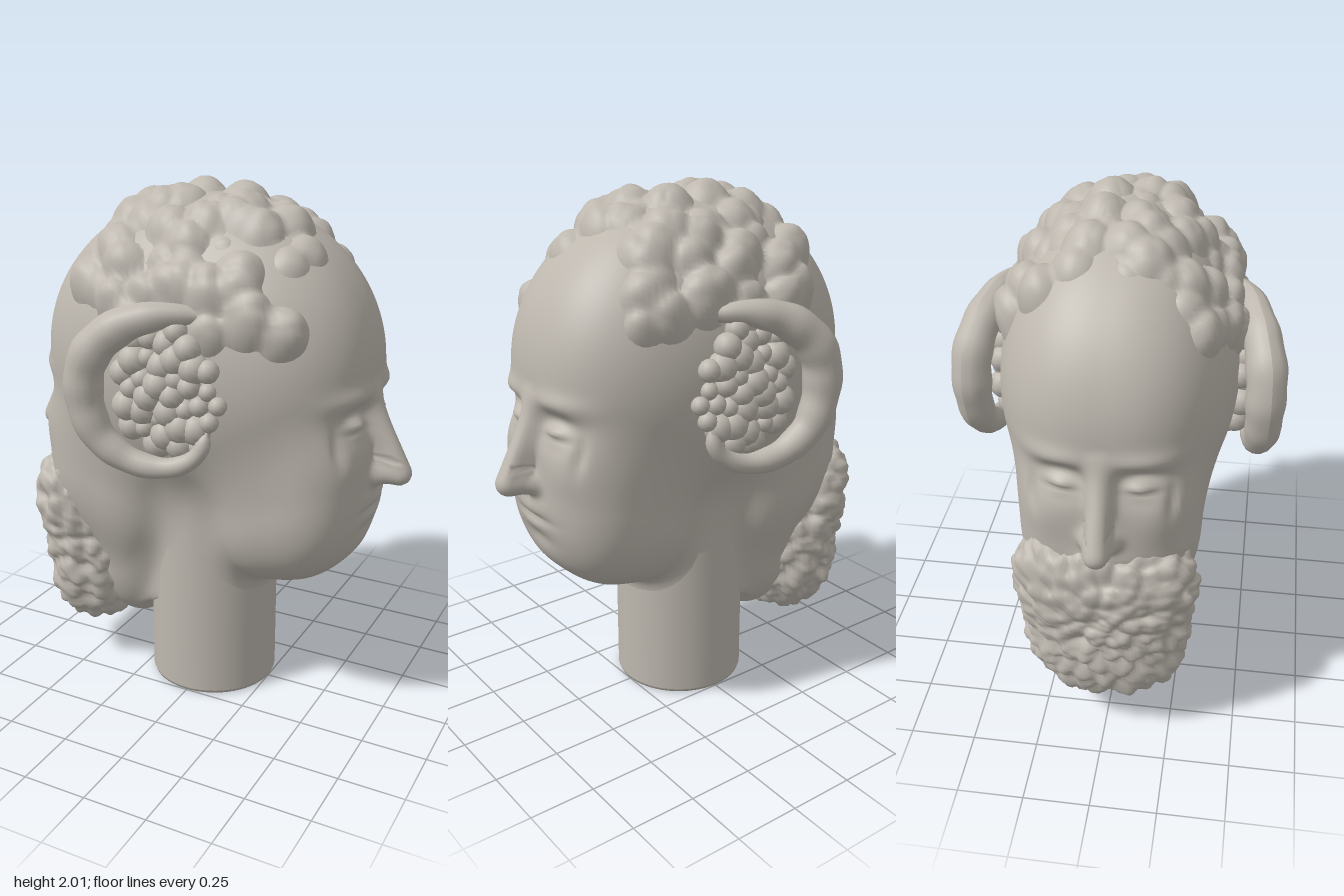
import * as THREE from 'three';
import { mergeGeometries } from 'three/addons/utils/BufferGeometryUtils.js';

const V = (x, y, z) => new THREE.Vector3(x, y, z);
const gauss = (v, s) => Math.exp(-(v * v) / (s * s));
const smoothMin = (a, b, k) => {
  const h = Math.max(k - Math.abs(a - b), 0) / k;
  return Math.min(a, b) - h * h * k * 0.25;
};

// Squarish ellipsoid as a distance field: e rounds the plan, ey the height
function blob(x, y, z, rx, ry, rz, e, ey) {
  const f = Math.pow(Math.pow(Math.abs(x / rx), e) + Math.pow(Math.abs(z / rz), e), 1 / e);
  const r = Math.pow(Math.pow(f, ey) + Math.pow(Math.abs(y / ry), ey), 1 / ey);
  return (r - 1) * Math.min(rx, ry, rz);
}

// Tapered nose ridge from brow to tip, with nostril wings
function noseField(u, y, z) {
  const ax = 0.622, ay = 1.29, bx = 0.754, by = 0.998;
  const dx = bx - ax, dy = by - ay;
  const t = THREE.MathUtils.clamp(((u - ax) * dx + (y - ay) * dy) / (dx * dx + dy * dy), 0, 1);
  const ridge = Math.hypot(u - ax - dx * t, y - ay - dy * t, z) - (0.03 + 0.017 * t);
  const wing = Math.hypot(u - 0.685, y - 0.99, Math.abs(z) - 0.03) - 0.034;
  return smoothMin(ridge, wing, 0.05);
}

// Raised or sunken face details: [amount, y, z, height, width]
const features = [
  [0.014, 1.3, 0.15, 0.04, 0.11],     // brow
  [-0.036, 1.215, 0.13, 0.06, 0.085], // eye socket
  [0.034, 1.2, 0.135, 0.034, 0.055],  // eyeball
  [-0.01, 1.18, 0.14, 0.012, 0.05],   // lower lid line
  [0.01, 1.06, 0.2, 0.1, 0.08],       // cheek
  [-0.012, 1.13, 0.24, 0.06, 0.016],  // cheek crease
  [0.02, 0.895, 0, 0.04, 0.08],       // upper lip
  [-0.014, 0.852, 0, 0.014, 0.1],     // mouth line
  [0.01, 0.82, 0, 0.03, 0.075],       // lower lip
  [-0.008, 0.765, 0, 0.03, 0.09],     // under lip
  [0.008, 0.68, 0, 0.06, 0.1],        // chin
];

// Cranium, two opposite face lobes, neck, beard support and noses, blended
function headField(x, y, z) {
  const u = Math.abs(x);
  let d = blob(x, y - 1.36, z, 0.652, 0.6, 0.435, 2.5, 2);
  const lobe = blob(u - 0.365, y - 0.9 - 0.2 * (u - 0.37), z, 0.3, 0.38, 0.333, 2.7, 2.5);
  d = smoothMin(d, lobe, 0.1);
  const neck = Math.max(Math.hypot(x, z) - 0.252, 0.35 - y, y - 1.1);
  d = smoothMin(d, neck, 0.08);
  if (x < 0) d = smoothMin(d, blob(x + 0.32, y - 0.58, z, 0.17, 0.38, 0.245, 2.3, 2.3), 0.09);
  if (u > 0.3) {
    const fade = THREE.MathUtils.smoothstep(u, 0.4, 0.55);
    for (const [amt, fy, fz, sy, sz] of features)
      d -= fade * amt * gauss(y - fy, sy) * gauss(Math.abs(z) - fz, sz);
    d = smoothMin(d, noseField(u, y, z), 0.05);
  }
  return d;
}

function beardField(x, y, z) {
  const low = blob(x + 0.505, y - 0.49, z, 0.19, 0.325, 0.3, 2.3, 2.4);
  const high = blob(x + 0.575, y - 0.77, z, 0.13, 0.19, 0.31, 2.3, 2.2);
  return smoothMin(low, high, 0.1);
}

// Distance from a point inside a field to its surface
function reach(field, c, d) {
  let lo = 0, hi = 1.4;
  for (let i = 0; i < 20; i++) {
    const m = (lo + hi) / 2;
    if (field(c.x + d.x * m, c.y + d.y * m, c.z + d.z * m) < 0) lo = m; else hi = m;
  }
  return lo;
}

const hash = (x, y, z, k) => {
  const s = Math.sin(x * 127.1 + y * 311.7 + z * 74.7 + k * 53.3) * 43758.5453;
  return s - Math.floor(s);
};

// Rounded curls: 0 away from any curl, 1 on top of one; keep(x, y, z) picks which curls grow
function curlNoise(p, size, keep = () => true) {
  const q = p.clone().divideScalar(size), f = q.clone().floor();
  let best = 1;
  for (let i = -1; i <= 1; i++) for (let j = -1; j <= 1; j++) for (let k = -1; k <= 1; k++) {
    const a = f.x + i, b = f.y + j, c = f.z + k;
    const x = a + hash(a, b, c, 1), y = b + hash(a, b, c, 2), z = c + hash(a, b, c, 3);
    const e = Math.hypot(x - q.x, y - q.y, z - q.z);
    if (e < best && keep(x * size, y * size, z * size)) best = e;
  }
  return 1 - best * best;
}

// Wrap a grid of rays around a centre onto a field's surface
function skin(field, c, rows, cols, phiMax, squeeze, offset) {
  const pos = [], index = [];
  for (let i = 0; i <= rows; i++) {
    const phi = 0.002 + (phiMax - 0.002) * i / rows;
    for (let j = 0; j < cols; j++) {
      const t = j / cols * Math.PI * 2, th = t - squeeze * Math.sin(2 * t);
      const d = V(Math.sin(phi) * Math.cos(th), Math.cos(phi), Math.sin(phi) * Math.sin(th));
      const p = c.clone().addScaledVector(d, reach(field, c, d));
      if (offset) p.addScaledVector(d, offset(p));
      pos.push(p.x, p.y, p.z);
      if (i < rows) {
        const a = i * cols + j, b = i * cols + (j + 1) % cols;
        index.push(a, b, a + cols, b, b + cols, a + cols);
      }
    }
  }
  const g = new THREE.BufferGeometry();
  g.setAttribute('position', new THREE.Float32BufferAttribute(pos, 3));
  g.setIndex(index);
  g.computeVertexNormals();
  return g;
}

// Curled horn: a tube whose rings are scaled along its length
function hornGeometry(s) {
  const path = [
    [0.14, 1.6, 0.4], [0.03, 1.6, 0.45], [-0.12, 1.55, 0.495], [-0.22, 1.45, 0.525],
    [-0.247, 1.32, 0.53], [-0.205, 1.17, 0.525], [-0.11, 1.085, 0.505], [0, 1.055, 0.485],
    [0.1, 1.07, 0.465], [0.17, 1.125, 0.45], [0.195, 1.205, 0.44],
  ].map(([x, y, z]) => V(x, y, z * s));
  const curve = new THREE.CatmullRomCurve3(path), n = 56, sides = 14;
  const g = new THREE.TubeGeometry(curve, n, 1, sides);
  const pos = g.attributes.position, v = V(0, 0, 0);
  for (let i = 0; i <= n; i++) {
    const t = i / n, c = curve.getPointAt(t);
    const thick = 0.027 + 0.046 * Math.sin(Math.PI * Math.pow(1 - t, 1.5));
    const r = thick * Math.min(1, Math.sqrt((1 - t) * 25)) * (1 + 0.03 * Math.sin(t * 60));
    for (let j = 0; j <= sides; j++) {
      const k = i * (sides + 1) + j;
      v.fromBufferAttribute(pos, k).sub(c).multiplyScalar(r).add(c);
      pos.setXYZ(k, v.x, v.y, v.z);
    }
  }
  g.computeVertexNormals();
  return g;
}

// Round curls of mixed size inside a horn, sparser toward its open side
function templeCurls(s) {
  const parts = [];
  for (let i = 0; i < 36; i++) {
    const a = i * 2.4, q = Math.sqrt((i + 0.5) / 36);
    const x = 0.04 + 0.2 * q * Math.cos(a), y = 1.32 + 0.24 * q * Math.sin(a);
    const r = (x > 0.15 ? 0.022 : 0.034) + 0.026 * hash(i, 2, 3, 4);
    const z = reach(headField, V(x, y, 0), V(0, 0, s)) + 0.02 * hash(i, 5, 1, 2);
    parts.push(new THREE.SphereGeometry(r, 12, 8).translate(x, y, z * s));
  }
  return mergeGeometries(parts);
}

export function createModel() {
  const group = new THREE.Group();
  group.name = 'twoFacedBust';
  const stone = new THREE.MeshStandardMaterial({ color: 0xbdb7ae });
  stone.name = 'warm grey stone';
  const add = (name, geometry) => {
    const mesh = new THREE.Mesh(geometry, stone);
    mesh.name = name;
    group.add(mesh);
  };
  const centre = V(0, 1.1, 0);

  // Head with a face at each end
  add('head', skin(headField, centre, 180, 220, 2.9, 0.25));

  // Neck with a slightly rounded foot
  const foot = [[0, 0], [0.24, 0], [0.24, 0], [0.251, 0.004], [0.255, 0.015], [0.255, 0.015], [0.255, 0.62]];
  add('neck', new THREE.LatheGeometry(foot.map(([x, y]) => new THREE.Vector2(x, y)), 64));

  // Cap of curly hair, thicker at the sides, with whole curls along its edge
  const onScalp = (x, y) => y > 1.53 && Math.abs(x - 0.03) < 0.39;
  add('hair', skin(headField, centre, 80, 160, 1.4, 0, (p) => {
    const curl = curlNoise(p, 0.12, onScalp);
    const side = THREE.MathUtils.smoothstep(Math.abs(p.z), 0.2, 0.42);
    return (0.08 + 0.025 * side) * curl - 0.036 + 0.014 * curl * curlNoise(p, 0.06);
  }));

  // Beard
  add('beard', skin(beardField, V(-0.53, 0.58, 0), 90, 110, Math.PI - 0.002, 0,
    (p) => 0.05 * curlNoise(p, 0.065) + 0.02 * curlNoise(p, 0.04) - 0.035));

  // Horns and temple curls on both sides
  for (const [side, s] of [['front', 1], ['back', -1]]) {
    add(side + 'Horn', hornGeometry(s));
    add(side + 'TempleCurls', templeCurls(s));
  }
  return group;
}
